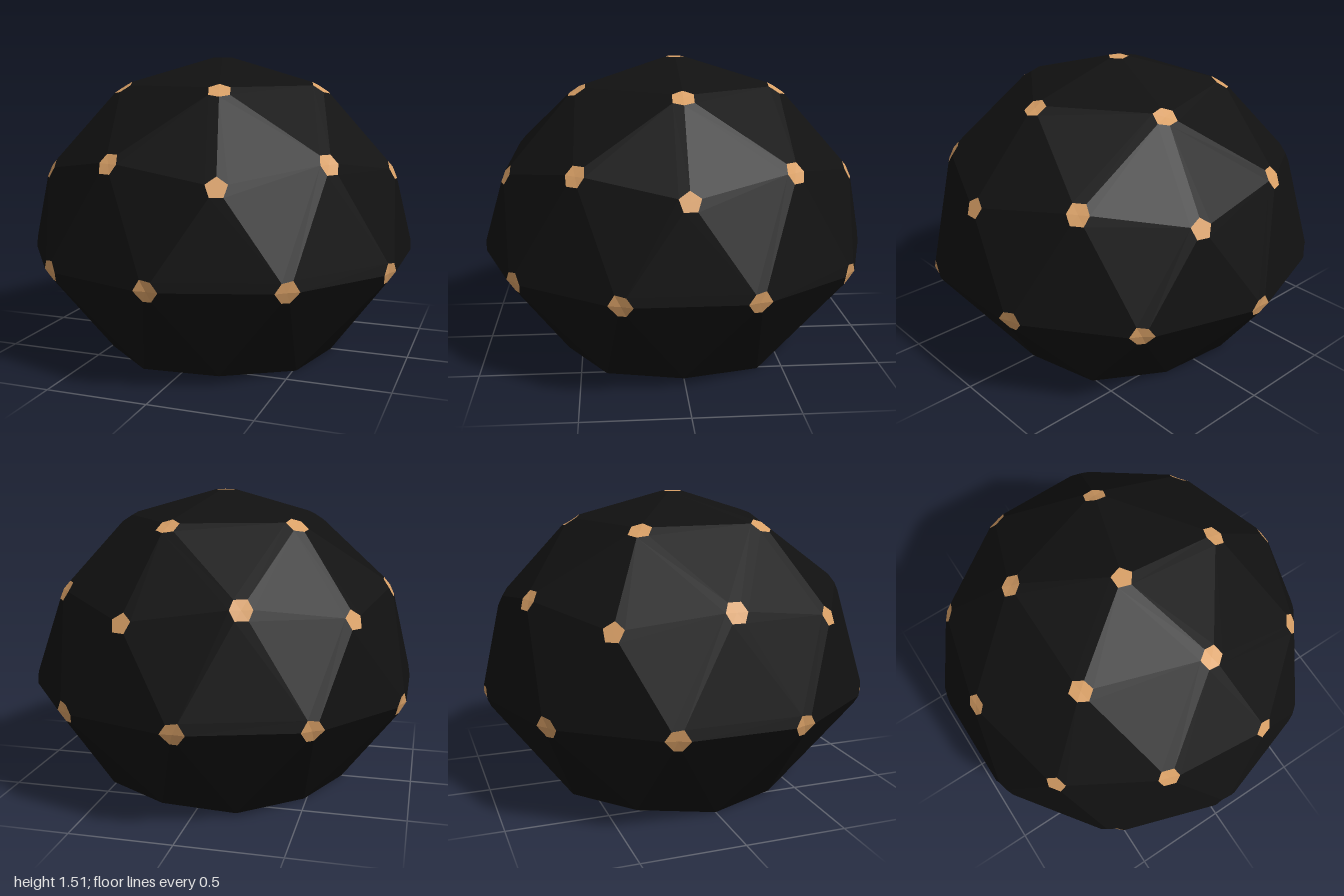
import * as THREE from 'three';

const R = 1.015, CY = 0.51, CUT = 0.1;
const mid = new THREE.Vector3(0, CY, 0);

// point at a height above the dome centre, a radius and an azimuth in degrees
function point(r, y, deg) {
  const a = THREE.MathUtils.degToRad(deg);
  return new THREE.Vector3(r * Math.cos(a), CY + y, r * Math.sin(a));
}

// adds a polygon as a fan, turned so that it faces outward
function addFan(out, pts, centre) {
  const loop = centre ? [...pts, pts[0]] : pts.slice(1);
  const apex = centre || pts[0];
  for (let i = 0; i < loop.length - 1; i++) {
    let b = loop[i], c = loop[i + 1];
    const n = b.clone().sub(apex).cross(c.clone().sub(apex));
    const m = apex.clone().add(b).add(c).divideScalar(3).sub(mid);
    if (n.dot(m) < 0) [b, c] = [c, b];
    for (const p of [apex, b, c]) out.push(p.x, p.y, p.z);
  }
}

function makeMesh(name, positions, material) {
  const g = new THREE.BufferGeometry();
  g.setAttribute('position', new THREE.Float32BufferAttribute(positions, 3));
  g.computeVertexNormals();
  const mesh = new THREE.Mesh(g, material);
  mesh.name = name;
  return mesh;
}

export function createModel() {
  const shellMat = new THREE.MeshStandardMaterial({ color: 0x111111 });
  shellMat.name = 'black panel';
  const hubMat = new THREE.MeshStandardMaterial({ color: 0xd9a066 });
  hubMat.name = 'tan hub';

  // rings of geodesic vertices, from the top down to the base
  const top = point(0, R, 0);
  const upper = [], shoulder = [], equator = [], base = [];
  for (let k = 0; k < 5; k++) upper.push(point(0.5257 * R, 0.8507 * R, 72 * k));
  for (let j = 0; j < 10; j++) {
    const even = j % 2 === 0;
    shoulder.push(point((even ? 0.8944 : 0.8507) * R, (even ? 0.4472 : 0.5257) * R, 36 * j));
    equator.push(point(R, 0, 18 + 36 * j));
    base.push(point(even ? 0.603 : 0.637, -CY, 36 * j));
  }

  // triangles between the rings
  const tris = [];
  for (let k = 0; k < 5; k++) {
    const u = upper[k], v = upper[(k + 1) % 5];
    const a = shoulder[2 * k], b = shoulder[2 * k + 1], c = shoulder[(2 * k + 2) % 10];
    tris.push([top, u, v], [u, a, b], [u, b, v], [v, b, c]);
  }
  for (let j = 0; j < 10; j++) {
    const n = (j + 1) % 10;
    for (const ring of [shoulder, base]) {
      tris.push([ring[j], equator[j], ring[n]], [equator[j], equator[n], ring[n]]);
    }
  }

  // panels with their corners cut off at every hub
  const panels = [];
  const neighbours = new Map();
  for (const t of tris) {
    const poly = [];
    t.forEach((p, i) => {
      const prev = t[(i + 2) % 3], next = t[(i + 1) % 3];
      if (base.includes(p)) { poly.push(p); return; }
      poly.push(p.clone().lerp(prev, CUT), p.clone().lerp(next, CUT));
      if (!neighbours.has(p)) neighbours.set(p, new Set());
      neighbours.get(p).add(prev).add(next);
    });
    addFan(panels, poly);
  }

  const group = new THREE.Group();
  group.name = 'geodesicDome';
  group.add(makeMesh('domePanels', panels, shellMat));

  // flat floor
  const floor = [];
  addFan(floor, base);
  group.add(makeMesh('floor', floor, shellMat));

  // hub caps that close the cut corners
  const hubs = new THREE.Group();
  hubs.name = 'hubs';
  for (const [p, set] of neighbours) {
    const axis = p.clone().sub(mid).normalize();
    const side = new THREE.Vector3(0.31, 0.2, 0.93).cross(axis).normalize();
    const other = axis.clone().cross(side);
    const angle = (q) => {
      const d = q.clone().sub(p);
      return Math.atan2(d.dot(other), d.dot(side));
    };
    const ring = [...set].sort((a, b) => angle(a) - angle(b)).map((q) => p.clone().lerp(q, CUT));
    const centre = ring.reduce((s, q) => s.add(q), new THREE.Vector3()).divideScalar(ring.length);
    const cap = [];
    addFan(cap, ring, centre);
    hubs.add(makeMesh('hubCap', cap, hubMat));
  }
  group.add(hubs);
  return group;
}
